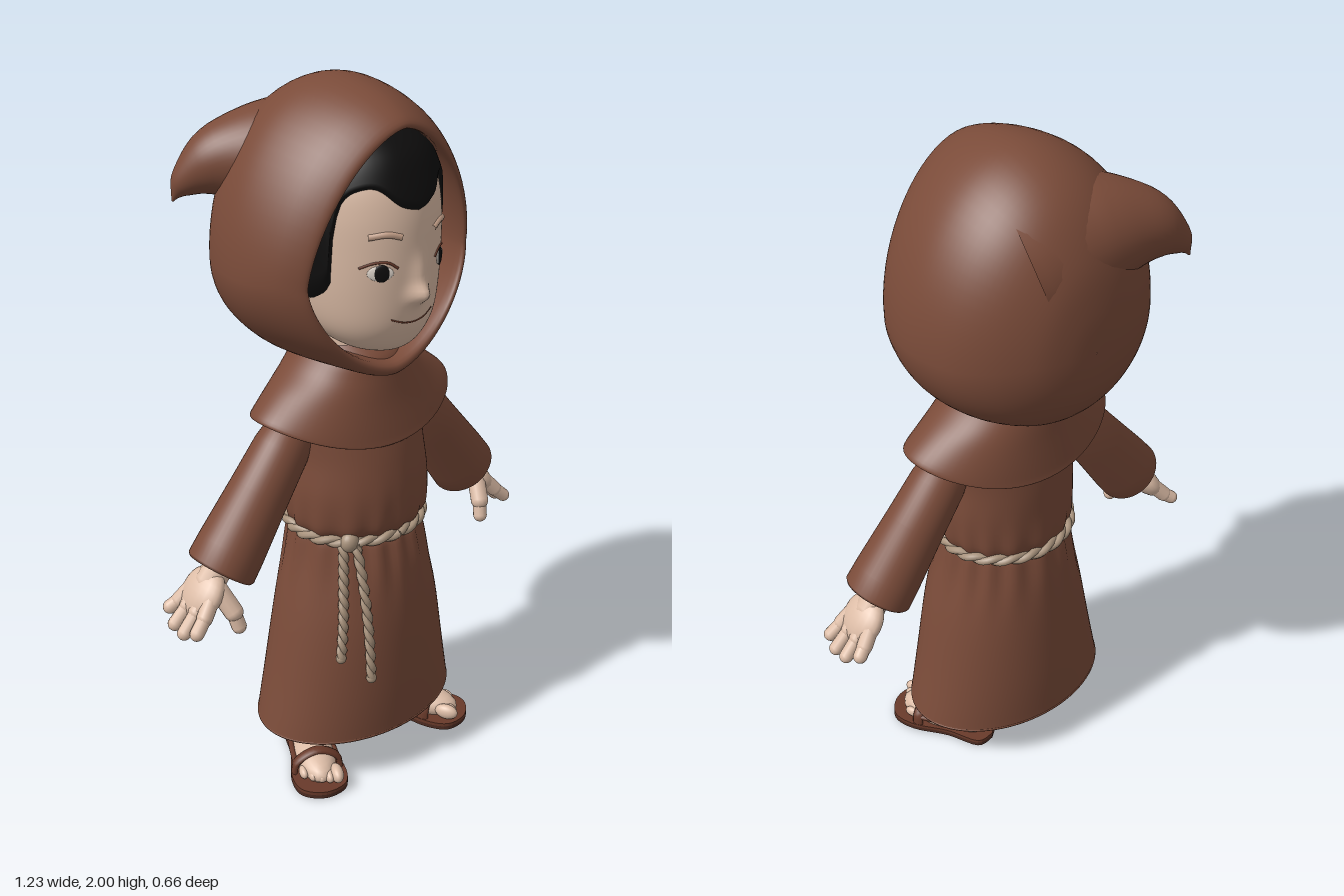
import * as THREE from 'three';

const V = (x, y, z) => new THREE.Vector3(x, y, z);
const mat = (name, color, side = THREE.FrontSide) => {
  const m = new THREE.MeshStandardMaterial({ color, side });
  m.name = name;
  return m;
};

// smooth a short table of cross-sections
function densify(rows, n = 5) {
  const out = [];
  const cr = (a, b, c, d, f) => b + 0.5 * f * (c - a + f * (2 * a - 5 * b + 4 * c - d + f * (3 * (b - c) + d - a)));
  for (let i = 0; i < rows.length - 1; i++) {
    const [a, b, c, d] = [rows[Math.max(i - 1, 0)], rows[i], rows[i + 1], rows[Math.min(i + 2, rows.length - 1)]];
    for (let k = 0; k < n; k++) out.push(b.map((v, j) => cr(a[j], v, c[j], d[j], k / n)));
  }
  out.push(rows[rows.length - 1]);
  return out;
}

// closed-ring surface: point(row, angle) for each row
function rings(rows, cols, point) {
  const pos = [], idx = [];
  for (let i = 0; i < rows; i++)
    for (let j = 0; j < cols; j++) pos.push(...point(i, (j / cols) * Math.PI * 2));
  for (let i = 0; i < rows - 1; i++)
    for (let j = 0; j < cols; j++) {
      const a = i * cols + j, b = i * cols + ((j + 1) % cols), c = a + cols, d = b + cols;
      idx.push(a, b, d, a, d, c);
    }
  const g = new THREE.BufferGeometry();
  g.setAttribute('position', new THREE.Float32BufferAttribute(pos, 3));
  g.setIndex(idx);
  g.computeVertexNormals();
  return g;
}

// cross-section rows: [y, half width, front z, back z]
const onRow = ([y, rx, zf, zb], a, grow = 0) =>
  [(rx + grow) * Math.sin(a), y, (zf + zb) / 2 + ((zf - zb) / 2 + grow) * Math.cos(a)];
function rowAt(table, y) {
  for (let i = table.length - 2; i > 0; i--)
    if (table[i][0] <= y) {
      const f = Math.min(1, (y - table[i][0]) / (table[i + 1][0] - table[i][0]));
      return table[i].map((v, j) => v + (table[i + 1][j] - v) * f);
    }
  return table[0];
}
function frontZ(table, x, y) {
  const [, rx, zf, zb] = rowAt(table, y);
  return (zf + zb) / 2 + ((zf - zb) / 2) * Math.sqrt(Math.max(0, 1 - (x / rx) ** 2));
}

const ROBE = densify([
  [0.23, 0.01, 0.06, 0.05], [0.22, 0.2, 0.18, -0.08], [0.16, 0.272, 0.238, -0.128], [0.151, 0.28, 0.245, -0.135],
  [0.15, 0.318, 0.282, -0.174], [0.155, 0.32, 0.284, -0.175], [0.3, 0.288, 0.285, -0.172], [0.5, 0.248, 0.278, -0.16],
  [0.65, 0.213, 0.26, -0.145], [0.74, 0.197, 0.24, -0.13], [0.77, 0.192, 0.228, -0.122], [0.81, 0.205, 0.248, -0.13],
  [0.9, 0.209, 0.25, -0.132], [1.0, 0.2, 0.236, -0.135], [1.1, 0.2, 0.213, -0.133], [1.2, 0.18, 0.19, -0.125],
]);
const HEAD = densify([
  [1.312, 0.02, 0.17, 0.1], [1.318, 0.06, 0.21, 0.06], [1.335, 0.105, 0.24, 0.02], [1.37, 0.148, 0.264, -0.05],
  [1.42, 0.178, 0.283, -0.12], [1.5, 0.198, 0.293, -0.18], [1.6, 0.205, 0.297, -0.2], [1.7, 0.205, 0.292, -0.2],
  [1.78, 0.194, 0.272, -0.19], [1.85, 0.158, 0.232, -0.15], [1.895, 0.09, 0.155, -0.07], [1.91, 0.005, 0.055, 0.045],
], 8);

export function createModel() {
  const model = new THREE.Group();
  const robe = mat('robe brown', 0x7a4b39, THREE.DoubleSide);
  const skin = mat('skin', 0xdcbca6);
  const hairMat = mat('hair black', 0x0e0d0d, THREE.DoubleSide);
  const rope = mat('rope', 0xa8927c);
  const leather = mat('sandal leather', 0x693a2a);
  const soleMat = mat('sandal sole', 0x4d2c22);
  const white = mat('eye white', 0xe6dcd2);
  const browMat = mat('brow', 0xc4a089);

  const add = (parent, name, geo, m) => {
    const mesh = new THREE.Mesh(geo, m);
    mesh.name = name;
    parent.add(mesh);
    return mesh;
  };
  const ball = (parent, name, m, p, s) => {
    const b = add(parent, name, new THREE.SphereGeometry(1, 20, 14), m);
    b.position.set(...p);
    b.scale.set(...s);
    return b;
  };
  const limb = (parent, name, m, a, b, r) => {
    const dir = b.clone().sub(a);
    const l = add(parent, name, new THREE.CapsuleGeometry(r, dir.length(), 6, 12), m);
    l.position.copy(a).addScaledVector(dir, 0.5);
    l.quaternion.setFromUnitVectors(V(0, 1, 0), dir.normalize());
  };
  const tube = (parent, name, m, pts, r, n = 20) =>
    add(parent, name, new THREE.TubeGeometry(new THREE.CatmullRomCurve3(pts), n, r, 8), m);

  // robe with soft pleats gathered at the belt and a thick hem
  add(model, 'robe', rings(ROBE.length, 96, (i, a) => {
    const y = ROBE[i][0];
    const pleat = 0.005 * Math.exp(-(((y - 0.74) / 0.12) ** 2)) * Math.cos(16 * a + Math.sin(3 * a));
    return onRow(ROBE[i], a, pleat);
  }), robe);

  // shoulder cape, hem lower at front and back; last column is the drop
  const cape = densify([
    [1.18, 0.23, 0.17, -0.11, 0.6], [1.14, 0.29, 0.208, -0.135, 1], [1.133, 0.316, 0.232, -0.155, 1],
    [1.15, 0.312, 0.229, -0.153, 0.95], [1.2, 0.25, 0.21, -0.143, 0.5], [1.245, 0.188, 0.197, -0.135, 0.15],
    [1.285, 0.15, 0.187, -0.125, 0], [1.32, 0.13, 0.15, -0.12, 0],
  ]);
  add(model, 'shoulderCape', rings(cape.length, 64, (i, a) => {
    const p = onRow(cape[i], a);
    p[1] -= 0.083 * cape[i][4] * Math.cos(a) ** 2;
    return p;
  }), robe);

  // hood rows, front to back: [z, upper slant, centre y, half width, height up, height down, pointedness, lower slant]
  const hood = densify([
    [0.06, 0.1, 1.54, 0.29, 0.39, 0.25, 1.1, 0.1], [0.172, 0.14, 1.54, 0.268, 0.365, 0.262, 1.2, 0.14],
    [0.178, 0.14, 1.54, 0.285, 0.387, 0.295, 1.18, 0.12], [0.12, 0.08, 1.54, 0.322, 0.43, 0.298, 1.12, 0.08],
    [0.03, 0.03, 1.53, 0.346, 0.467, 0.29, 1.08, 0], [-0.06, 0, 1.53, 0.345, 0.467, 0.285, 1.05, 0],
    [-0.16, 0, 1.53, 0.314, 0.43, 0.262, 1.02, 0], [-0.24, 0, 1.54, 0.252, 0.35, 0.235, 1, 0],
    [-0.3, 0, 1.55, 0.165, 0.23, 0.165, 1, 0], [-0.325, 0, 1.55, 0.08, 0.11, 0.08, 1, 0],
    [-0.33, 0, 1.55, 0.002, 0.002, 0.002, 1, 0],
  ]);
  add(model, 'hood', rings(hood.length, 72, (i, a) => {
    const [z, slant, cy, rx, up, down, e, low] = hood[i];
    const s = Math.sin(a), c = Math.cos(a);
    const dy = Math.sign(c) * Math.abs(c) ** e * (c > 0 ? up : down);
    return [rx * Math.sign(s) * Math.abs(s) ** e, cy + dy, z + (dy > 0 ? slant : -low) * dy];
  }), robe);

  // drooping peak growing out of the back of the hood
  const peakCurve = new THREE.CatmullRomCurve3([
    V(0.03, 1.72, -0.09), V(-0.09, 1.77, -0.145), V(-0.19, 1.79, -0.195), V(-0.28, 1.765, -0.235),
    V(-0.33, 1.715, -0.258), V(-0.35, 1.675, -0.268)]);
  const peakR = densify([[0.225], [0.17], [0.122], [0.076], [0.034], [0.003]], 6);
  const n = peakR.length - 1, frames = peakCurve.computeFrenetFrames(n);
  add(model, 'hoodPeak', rings(n + 1, 40, (i, a) => peakCurve.getPoint(i / n)
    .addScaledVector(frames.normals[i], peakR[i][0] * Math.cos(a))
    .addScaledVector(frames.binormals[i], peakR[i][0] * Math.sin(a)).toArray()), robe);

  // head, with the nose raised from the face, and hair
  const head = new THREE.Group();
  head.name = 'head';
  model.add(head);
  const bump = (x, y, cy, w, h) => Math.exp(-((x / w) ** 2) - ((y - cy) / h) ** 2);
  add(head, 'face', rings(HEAD.length, 144, (i, a) => {
    const p = onRow(HEAD[i], a);
    if (p[2] > 0.1) p[2] += 0.036 * bump(p[0], p[1], 1.497, 0.028, 0.026) + 0.014 * bump(p[0], p[1], 1.545, 0.026, 0.045);
    return p;
  }), skin);
  add(head, 'neck', new THREE.CylinderGeometry(0.09, 0.1, 0.2, 24), skin).position.set(0, 1.27, 0.03);
  const hairline = densify([[0, 1.715], [0.25, 1.73], [0.55, 1.775], [0.9, 1.75], [1.04, 1.66], [1.1, 1.53], [1.35, 1.48],
    [1.6, 1.47], [3.15, 1.42]].map(([a, y]) => [y, a]));
  const hairBase = (a) => {
    const k = hairline.findIndex((h) => h[1] >= a);
    if (k < 1) return hairline[0][0];
    const [p, q] = [hairline[k - 1], hairline[k]];
    return p[0] + ((q[0] - p[0]) * (a - p[1])) / (q[1] - p[1]);
  };
  add(head, 'hair', rings(25, 120, (i, a) => {
    const y0 = hairBase(Math.min(a, Math.PI * 2 - a));
    const y = y0 + (1.909 - y0) * Math.sin((i / 24) * Math.PI / 2);
    const sides = 0.008 * Math.sin(a) ** 2;
    const p = onRow(rowAt(HEAD, y), a, i === 0 ? 0 : 0.01 + sides);
    p[1] += 0.006 * (i / 24);
    return p;
  }), hairMat);

  // facial features
  const onFace = (x, y, d = 0.002) => V(x, y, frontZ(HEAD, x, y) + d);
  tube(head, 'mouth', leather, [-0.07, -0.035, 0, 0.035, 0.07].map((x) => onFace(x, 1.417 + 3.6 * x * x, -0.0005)), 0.0025);
  for (const s of [-1, 1]) {
    const eye = onFace(s * 0.102, 1.565, 0);
    ball(head, 'eyeWhite', white, eye.toArray(), [0.034, 0.02, 0.004]).rotation.y = s * 0.6;
    ball(head, 'pupil', hairMat, [eye.x - s * 0.002, eye.y, eye.z + 0.003], [0.021, 0.023, 0.0045]).rotation.y = s * 0.6;
    tube(head, 'eyelid', leather, [[0.062, 1.576], [0.085, 1.592], [0.115, 1.592], [0.142, 1.578]]
      .map(([x, y]) => onFace(s * x, y, 0)), 0.0035);
    tube(head, 'eyebrow', browMat, [[0.052, 1.655], [0.085, 1.664], [0.125, 1.658]]
      .map(([x, y]) => onFace(s * x, y, -0.002)), 0.009);
    ball(head, 'ear', skin, [s * 0.222, 1.51, 0.07], [0.036, 0.055, 0.04]).rotation.z = -s * 0.25;
  }

  // twisted rope: two strands winding round a path
  const twist = (name, path, out, side, turns, r) => {
    for (const k of [0, Math.PI]) {
      const pts = [];
      const steps = turns * 8;
      for (let i = 0; i <= steps; i++) {
        const t = i / steps, w = t * turns * Math.PI * 2 + k;
        pts.push(path(t).addScaledVector(out(t), r * 0.45 * Math.cos(w)).addScaledVector(side, r * 0.45 * Math.sin(w)));
      }
      tube(model, name, rope, pts, r * 0.8, steps * 2);
    }
  };
  const waist = rowAt(ROBE, 0.77);
  twist('ropeBelt', (t) => V(...onRow(waist, t * Math.PI * 2, 0.006)),
    (t) => V(Math.sin(t * Math.PI * 2), 0, Math.cos(t * Math.PI * 2)), V(0, 1, 0), 11, 0.0145);
  for (const [x0, x1, y1] of [[-0.15, -0.195, 0.43], [-0.125, -0.126, 0.36]]) {
    const hang = (t) => {
      const x = x0 + (x1 - x0) * t, y = 0.77 + (y1 - 0.77) * t;
      return V(x, y, frontZ(ROBE, x, y) + 0.014);
    };
    twist('hangingRope', hang, () => V(0, 0, 1), V(1, 0, 0), 5, 0.0125);
    ball(model, 'ropeEnd', rope, hang(1).toArray(), [0.015, 0.016, 0.015]);
  }
  ball(model, 'ropeKnot', rope, [-0.137, 0.772, frontZ(ROBE, -0.137, 0.77) + 0.015], [0.027, 0.03, 0.024]);

  for (const s of [-1, 1]) {
    const side = s > 0 ? 'left' : 'right';
    // sleeve and hand hang along the local -y axis
    const arm = new THREE.Group();
    arm.name = side + 'Arm';
    arm.position.set(s * 0.17, 1.13, 0.03);
    arm.rotation.z = s * 0.64;
    model.add(arm);
    const profile = [[0.001, -0.43], [0.07, -0.44], [0.086, -0.478], [0.092, -0.486], [0.098, -0.478], [0.096, -0.42],
      [0.085, -0.25], [0.078, -0.12], [0.06, -0.02], [0.001, 0.02]].map((p) => new THREE.Vector2(...p));
    add(arm, 'sleeve', new THREE.LatheGeometry(profile, 40), robe);
    limb(arm, 'wrist', skin, V(0, -0.42, -0.005), V(s * 0.006, -0.53, -0.008), 0.042);
    ball(arm, 'palm', skin, [s * 0.012, -0.56, -0.008], [0.036, 0.075, 0.073]);
    [[-0.052, -0.08, -0.642], [-0.024, -0.034, -0.672], [0.008, 0.014, -0.678], [0.036, 0.058, -0.66]].forEach(([z0, z1, y]) => {
      const knuckle = V(s * 0.018, -0.615, z0 * 0.4 + z1 * 0.6);
      limb(arm, 'finger', skin, V(s * 0.014, -0.56, z0), knuckle, 0.023);
      limb(arm, 'fingertip', skin, knuckle, V(s * 0.026, y, z1), 0.02);
    });
    limb(arm, 'thumbBase', skin, V(0, -0.535, 0.03), V(-s * 0.05, -0.57, 0.068), 0.027);
    limb(arm, 'thumb', skin, V(-s * 0.05, -0.57, 0.068), V(-s * 0.082, -0.6, 0.08), 0.021);

    // leg, bare foot and sandal, turned outward
    const shin = [[0.04, 0.05], [0.1, 0.043], [0.16, 0.047], [0.32, 0.06]].map(([y, r]) => new THREE.Vector2(r, y));
    add(model, side + 'Leg', new THREE.LatheGeometry(shin, 24), skin).position.set(s * 0.15, 0, 0.03);
    const foot = new THREE.Group();
    foot.name = side + 'Foot';
    foot.position.set(s * 0.204, 0, 0.1);
    foot.rotation.y = s * 0.45;
    model.add(foot);
    const outline = new THREE.Shape(new THREE.SplineCurve([[0, -0.17], [0.05, -0.145], [0.056, -0.04], [0.08, 0.07],
      [0.066, 0.145], [0, 0.174], [-0.066, 0.145], [-0.08, 0.07], [-0.056, -0.04], [-0.05, -0.145], [0, -0.17]]
      .map(([x, z]) => new THREE.Vector2(x, -z))).getPoints(50));
    const slab = (name, depth, y, m) => {
      const g = new THREE.ExtrudeGeometry(outline, { depth, bevelEnabled: false });
      g.rotateX(-Math.PI / 2);
      add(foot, name, g, m).position.y = y;
    };
    slab('sole', 0.012, 0, soleMat);
    slab('insole', 0.01, 0.012, leather);
    ball(foot, 'heel', skin, [0, 0.055, -0.095], [0.046, 0.045, 0.054]);
    ball(foot, 'instep', skin, [0, 0.042, 0.015], [0.06, 0.045, 0.13]);
    for (let k = 0; k < 5; k++) {
      const x = -s * (0.042 - k * 0.0225), big = k === 0 ? 0.024 : 0.019 - k * 0.0006;
      ball(foot, 'toe', skin, [x, 0.022 + big, 0.128 - k * k * 0.0024], [big * 0.8, big, big * 1.5]);
    }
    const strap = tube(foot, 'toeStrap', leather, [V(-0.07, 0.015, 0), V(-0.06, 0.055, 0), V(0, 0.085, 0),
      V(0.06, 0.055, 0), V(0.07, 0.015, 0)], 0.009);
    strap.position.z = 0.06;
    strap.scale.z = 2;
    tube(foot, 'heelStrap', leather, [V(-0.063, 0.045, 0.06), V(-0.058, 0.055, -0.02), V(-0.045, 0.06, -0.1),
      V(0, 0.062, -0.15), V(0.045, 0.06, -0.1), V(0.058, 0.055, -0.02), V(0.063, 0.045, 0.06)], 0.009, 32);
  }
  return model;
}
